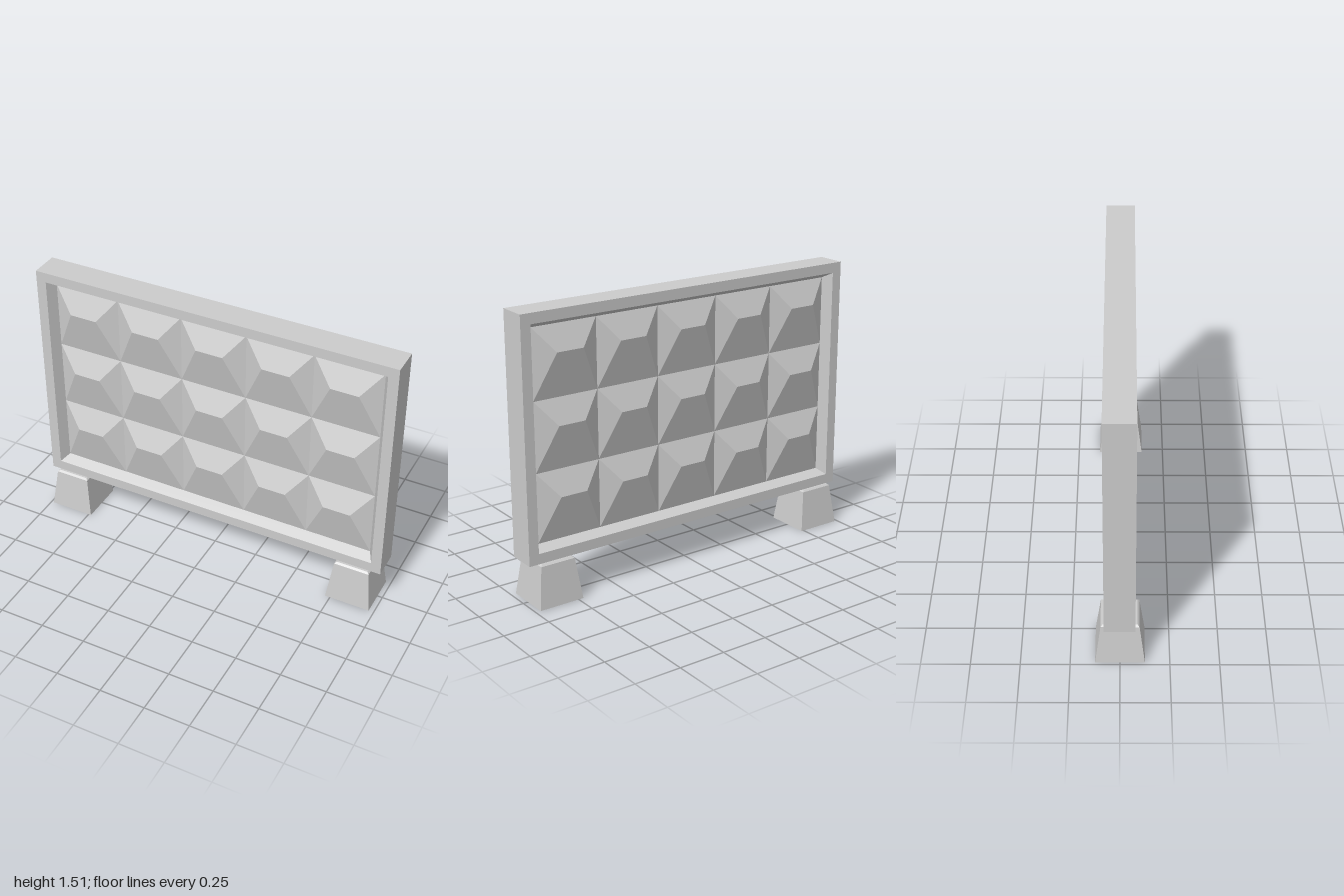
import * as THREE from 'three';

const material = new THREE.MeshStandardMaterial({ color: 0xcccccc, flatShading: true });

// Rectangle corners, counter-clockwise seen from +z
const rect = (x0, x1, y0, y1, z) => [[x0, y0, z], [x1, y0, z], [x1, y1, z], [x0, y1, z]];

// Joins successive rectangles with four quads each
function loft(rects) {
  const positions = [];
  for (let r = 0; r + 1 < rects.length; r++) {
    const a = rects[r], b = rects[r + 1];
    for (let i = 0; i < 4; i++) {
      const j = (i + 1) % 4;
      for (const p of [a[i], a[j], b[j], a[i], b[j], b[i]]) positions.push(...p);
    }
  }
  const geometry = new THREE.BufferGeometry();
  geometry.setAttribute('position', new THREE.Float32BufferAttribute(positions, 3));
  geometry.computeVertexNormals();
  return geometry;
}

function addMesh(parent, geometry, name) {
  const mesh = new THREE.Mesh(geometry, material);
  mesh.name = name;
  parent.add(mesh);
  return mesh;
}

const HALF_DEPTH = 0.078, RECESS = 0.055, RELIEF = 0.054;
const PANEL = { x: 0.915, y0: 0.313, y1: 1.425 };
const COLUMNS = 5, ROWS = 3;

// One half of the slab: outer edge, rim, sloping reveal and faceted panel
function createSide(name) {
  const side = new THREE.Group();
  side.name = name;
  const base = HALF_DEPTH - RECESS;

  addMesh(side, loft([
    rect(-1, 1, 0.23, 1.51, 0),
    rect(-1, 1, 0.23, 1.51, HALF_DEPTH),
    rect(-0.945, 0.945, 0.285, 1.455, HALF_DEPTH),
    rect(-PANEL.x, PANEL.x, PANEL.y0, PANEL.y1, base),
  ]), 'frame');

  // Each facet block rises to a short horizontal ridge above its middle
  const w = 2 * PANEL.x / COLUMNS, h = (PANEL.y1 - PANEL.y0) / ROWS;
  const ridgeY = 0.65 * h;
  const block = loft([
    rect(0, w, 0, h, 0),
    rect(0.3 * w, 0.71 * w, ridgeY, ridgeY, RELIEF),
  ]);
  for (let row = 0; row < ROWS; row++) {
    for (let col = 0; col < COLUMNS; col++) {
      addMesh(side, block, 'facetBlock').position.set(-PANEL.x + col * w, PANEL.y0 + row * h, base);
    }
  }
  return side;
}

export function createModel() {
  const model = new THREE.Group();
  model.name = 'fencePanel';

  // Slab, the same on both faces
  const slab = new THREE.Group();
  slab.name = 'slab';
  slab.position.z = -0.002;
  const back = createSide('backSide');
  back.rotation.y = Math.PI;
  slab.add(createSide('frontSide'), back);
  model.add(slab);

  // Square tapered feet with a small chamfer at the top
  const profile = [[0, 0], [0.125, 0], [0.097, 0.22], [0.087, 0.229], [0, 0.229]]
    .map(([half, y]) => new THREE.Vector2(half * Math.SQRT2, y));
  const foot = new THREE.LatheGeometry(profile, 4, Math.PI / 4);
  addMesh(model, foot, 'leftFoot').position.x = 0.847;
  addMesh(model, foot, 'rightFoot').position.x = -0.86;

  return model;
}
